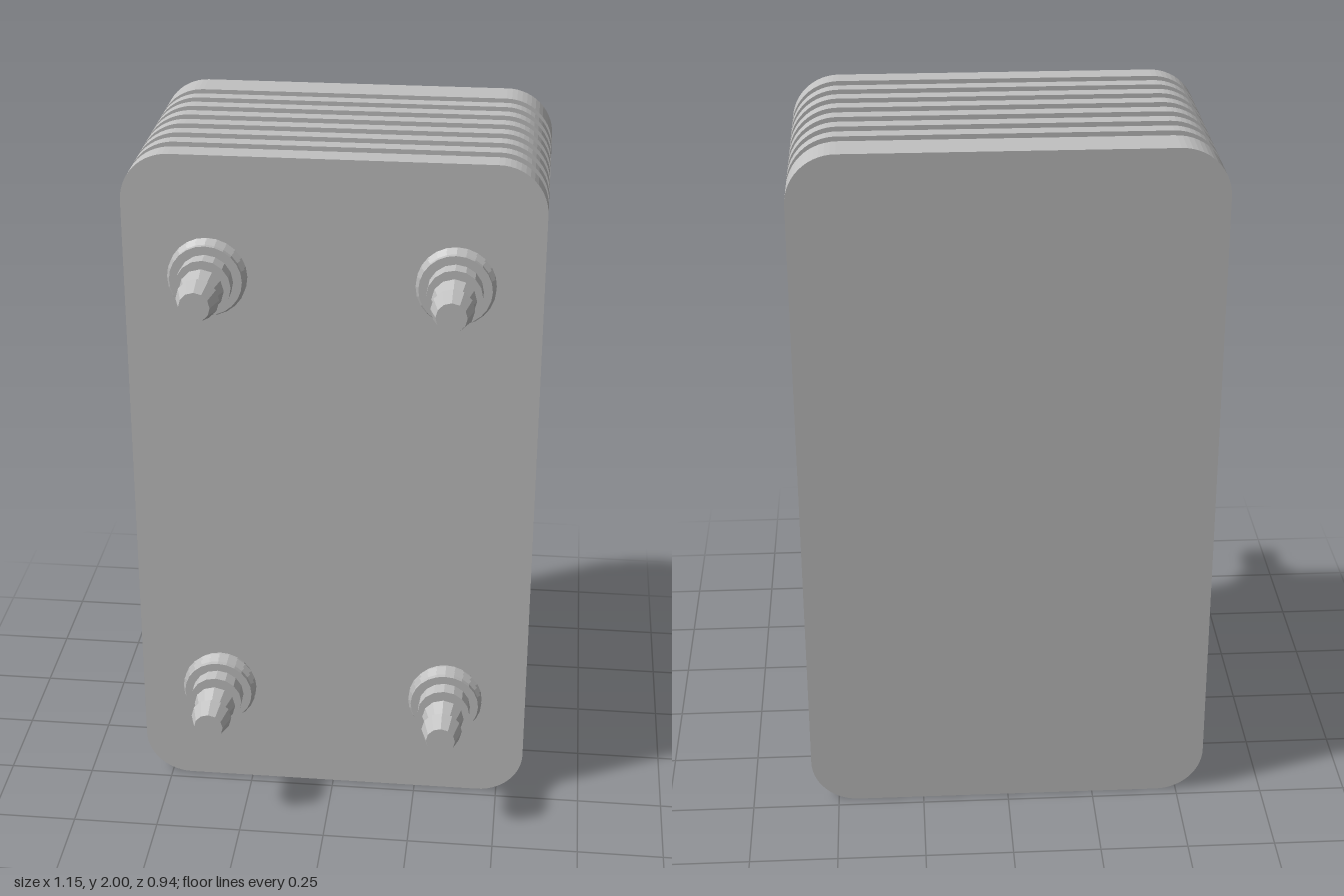
import * as THREE from 'three';

const steel = new THREE.MeshStandardMaterial({ color: 0xc0c0c0, flatShading: true });
steel.name = 'brushed steel grey';

// Rounded rectangular plate spanning z0..z1, centred on y = 1
function plate(name, halfW, halfH, r, z0, z1) {
  const s = new THREE.Shape();
  s.moveTo(-halfW + r, -halfH);
  s.lineTo(halfW - r, -halfH);
  s.absarc(halfW - r, -halfH + r, r, -Math.PI / 2, 0);
  s.absarc(halfW - r, halfH - r, r, 0, Math.PI / 2);
  s.absarc(-halfW + r, halfH - r, r, Math.PI / 2, Math.PI);
  s.absarc(-halfW + r, -halfH + r, r, Math.PI, Math.PI * 1.5);
  const g = new THREE.ExtrudeGeometry(s, { depth: z1 - z0, bevelEnabled: false, curveSegments: 7 });
  const m = new THREE.Mesh(g, steel);
  m.name = name;
  m.position.set(0, 1, z0);
  return m;
}

// Turned part along +z from [radius, z] pairs
function turned(name, profile, sides) {
  const g = new THREE.LatheGeometry(profile.map(([r, z]) => new THREE.Vector2(r, z)), sides);
  g.rotateX(Math.PI / 2);
  const m = new THREE.Mesh(g, steel);
  m.name = name;
  return m;
}

// Threaded collar, hex-like shoulder and two-step hose barb
function hoseFitting() {
  const f = new THREE.Group();
  f.add(turned('threadedCollar', [
    [0.1, 0.215], [0.1, 0.234], [0.109, 0.241], [0.1, 0.248],
    [0.1, 0.255], [0.109, 0.262], [0.1, 0.269], [0.1, 0.283], [0, 0.283],
  ], 24));
  f.add(turned('shoulder', [[0.076, 0.28], [0.076, 0.327], [0, 0.327]], 16));
  f.add(turned('hoseBarb', [
    [0.042, 0.32], [0.042, 0.35], [0.061, 0.35], [0.038, 0.414],
    [0.059, 0.414], [0.042, 0.47], [0, 0.47],
  ], 12));
  return f;
}

export function createModel() {
  const model = new THREE.Group();
  model.name = 'plateHeatExchanger';

  // End plates
  model.add(plate('frontPlate', 0.577, 1, 0.135, 0.157, 0.22));
  model.add(plate('backPlate', 0.577, 1, 0.135, -0.472, -0.413));

  // Alternating recessed and full-size plates
  const step = 0.0406;
  for (let i = 0; i < 14; i++) {
    const z1 = 0.157 - i * step;
    const z0 = i === 13 ? -0.413 : z1 - step;
    model.add(i % 2 === 0
      ? plate('recessedPlate', 0.563, 0.987, 0.122, z0, z1)
      : plate('fullPlate', 0.577, 1, 0.135, z0, z1));
  }

  // Four hose fittings
  for (const x of [-0.339, 0.339]) {
    for (const y of [0.34, 1.665]) {
      const f = hoseFitting();
      f.name = (y > 1 ? 'upper' : 'lower') + (x > 0 ? 'Left' : 'Right') + 'Fitting';
      f.position.set(x, y, 0);
      model.add(f);
    }
  }
  return model;
}
